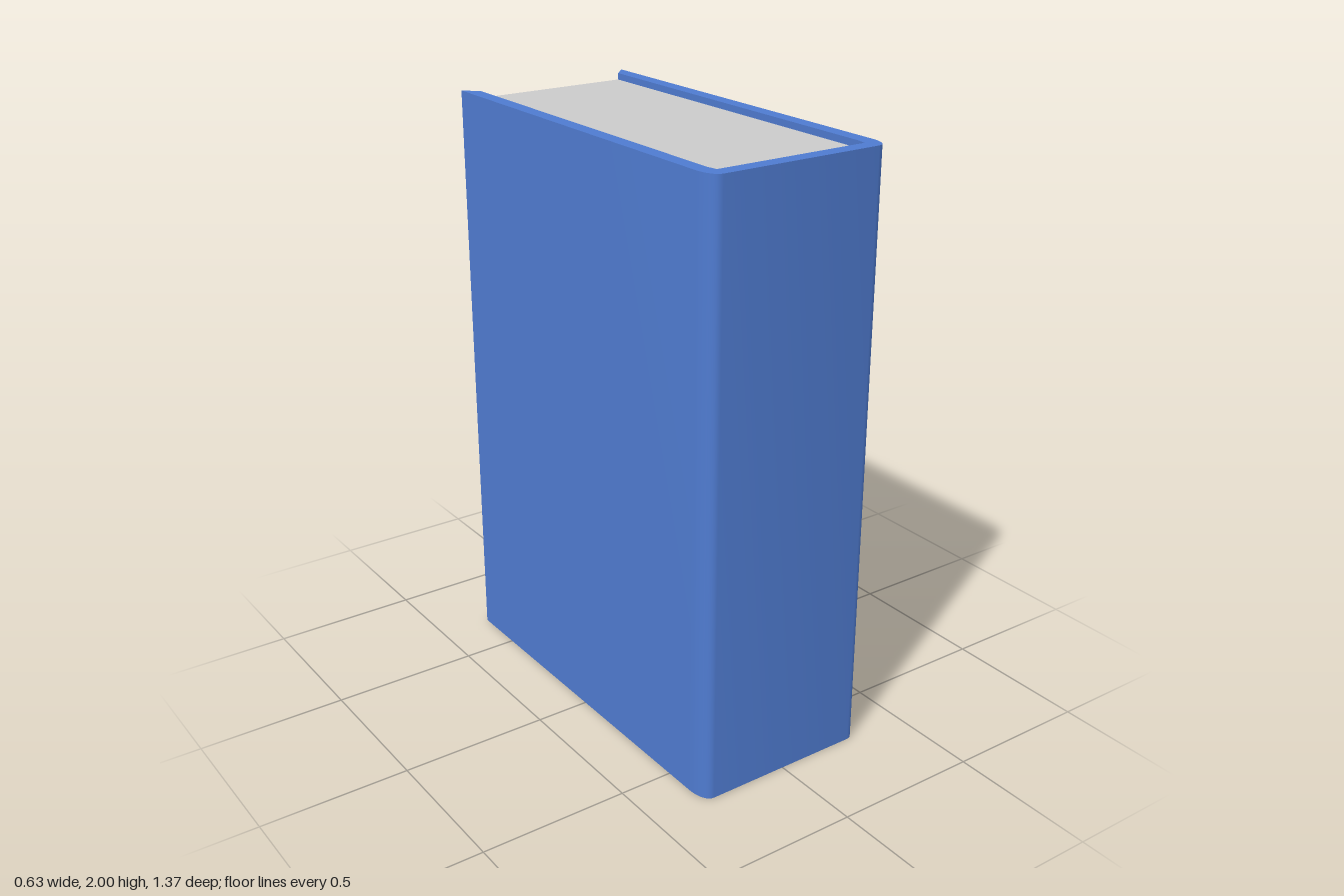
import * as THREE from 'three';
import { toCreasedNormals } from 'three/addons/utils/BufferGeometryUtils.js';

const H = 2;          // cover height
const INSET = 0.022;  // pages sit slightly inside the cover at top and bottom

// Extrudes a plan outline (x, -z) upwards from y0 by the given height
function extrudeUp(shape, y0, height) {
  const geo = new THREE.ExtrudeGeometry(shape, { depth: height, bevelEnabled: false, curveSegments: 8 });
  geo.rotateX(-Math.PI / 2).translate(0, y0, 0);
  return toCreasedNormals(geo, 0.6);
}

// Inner outline shared by cover and pages, from back right round the spine to back left
const inner = [[0.27, -0.637], [0.27, 0.6], [0.264, 0.636], [-0.264, 0.636], [-0.27, 0.6], [-0.27, -0.637]];

function addPart(group, name, geometry, color) {
  const mesh = new THREE.Mesh(geometry, new THREE.MeshStandardMaterial({ color }));
  mesh.name = name;
  group.add(mesh);
}

export function createModel() {
  const book = new THREE.Group();
  book.name = 'book';

  // Wrap-round cover: two boards with mitred fore edges and a spine with rounded corners
  const cover = new THREE.Shape();
  cover.moveTo(-0.317, 0.685);
  cover.lineTo(-0.317, -0.61);
  cover.bezierCurveTo(-0.317, -0.65, -0.302, -0.685, -0.277, -0.685);
  cover.lineTo(0.277, -0.685);
  cover.bezierCurveTo(0.302, -0.685, 0.317, -0.65, 0.317, -0.61);
  cover.lineTo(0.317, 0.685);
  inner.forEach(([x, z]) => cover.lineTo(x, -z));
  cover.closePath();
  addPart(book, 'cover', extrudeUp(cover, 0, H), 0x4f7bd0);

  // Page block filling the cover
  const pages = new THREE.Shape(inner.map(([x, z]) => new THREE.Vector2(x, -z)));
  addPart(book, 'pages', extrudeUp(pages, INSET, H - 2 * INSET), 0xcccccc);

  return book;
}
